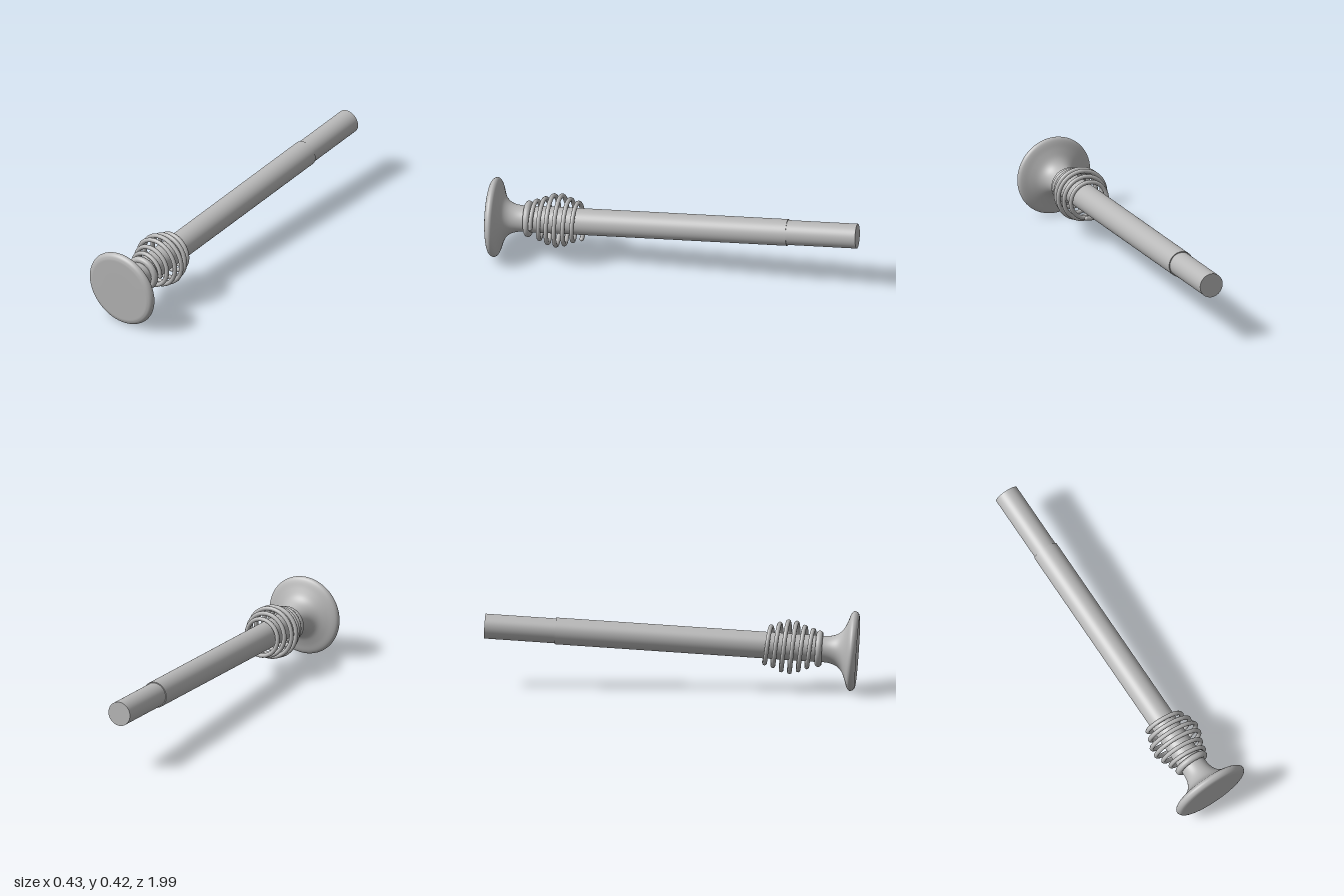
import * as THREE from 'three';

const TILT = 0.06; // the whole shaft dips slightly towards the front

export function createModel() {
  const model = new THREE.Group();
  model.name = 'springPlunger';
  const grey = new THREE.MeshStandardMaterial({ color: 0xb8b8b8 });
  grey.name = 'grey';

  // Everything is built along local z, then tilted as one.
  const assembly = new THREE.Group();
  assembly.name = 'assembly';
  assembly.position.y = 0.273;
  assembly.rotation.x = TILT;
  model.add(assembly);

  const add = (name, geometry) => {
    const mesh = new THREE.Mesh(geometry, grey);
    mesh.name = name;
    assembly.add(mesh);
  };
  const rod = (radius, z0, z1) =>
    new THREE.CylinderGeometry(radius, radius, z1 - z0, 48)
      .rotateX(Math.PI / 2).translate(0, 0, (z0 + z1) / 2);

  // Shaft: thinner tail and the thicker sleeve over it
  add('tailRod', rod(0.066, -0.996, -0.6));
  add('sleeve', rod(0.071, -0.62, 0.8));

  // Head: flared neck, rounded rim and flat face
  const flare = new THREE.SplineCurve([
    [0.07, 0.78], [0.07, 0.82], [0.076, 0.856], [0.09, 0.886], [0.115, 0.91],
    [0.155, 0.928], [0.19, 0.94], [0.206, 0.949], [0.2125, 0.961],
    [0.208, 0.974], [0.198, 0.983], [0.183, 0.9875],
  ].map(([r, z]) => new THREE.Vector2(r, z))).getPoints(44);
  const face = [0.175, 0.1, 0].map(r => new THREE.Vector2(r, 0.988));
  add('head', new THREE.LatheGeometry([...flare, ...face], 64).rotateX(Math.PI / 2));

  // Collar ring behind the neck
  add('collarRing', new THREE.TorusGeometry(0.079, 0.018, 16, 48).translate(0, 0, 0.783));

  // Barrel-shaped coil spring with closed wire ends
  const TURNS = 5.8, WIRE = 0.012;
  const coilPoint = t => {
    const a = t * TURNS * Math.PI * 2;
    const r = 0.096 + 0.038 * Math.sin(Math.PI * t) ** 2;
    return new THREE.Vector3(r * Math.cos(a), r * Math.sin(a), 0.757 - 0.261 * t);
  };
  const points = Array.from({ length: 141 }, (_, i) => coilPoint(i / 140));
  add('spring', new THREE.TubeGeometry(new THREE.CatmullRomCurve3(points), 300, WIRE, 10));
  for (const t of [0, 1]) {
    const p = coilPoint(t);
    add('springEnd', new THREE.SphereGeometry(WIRE, 12, 8).translate(p.x, p.y, p.z));
  }

  return model;
}
